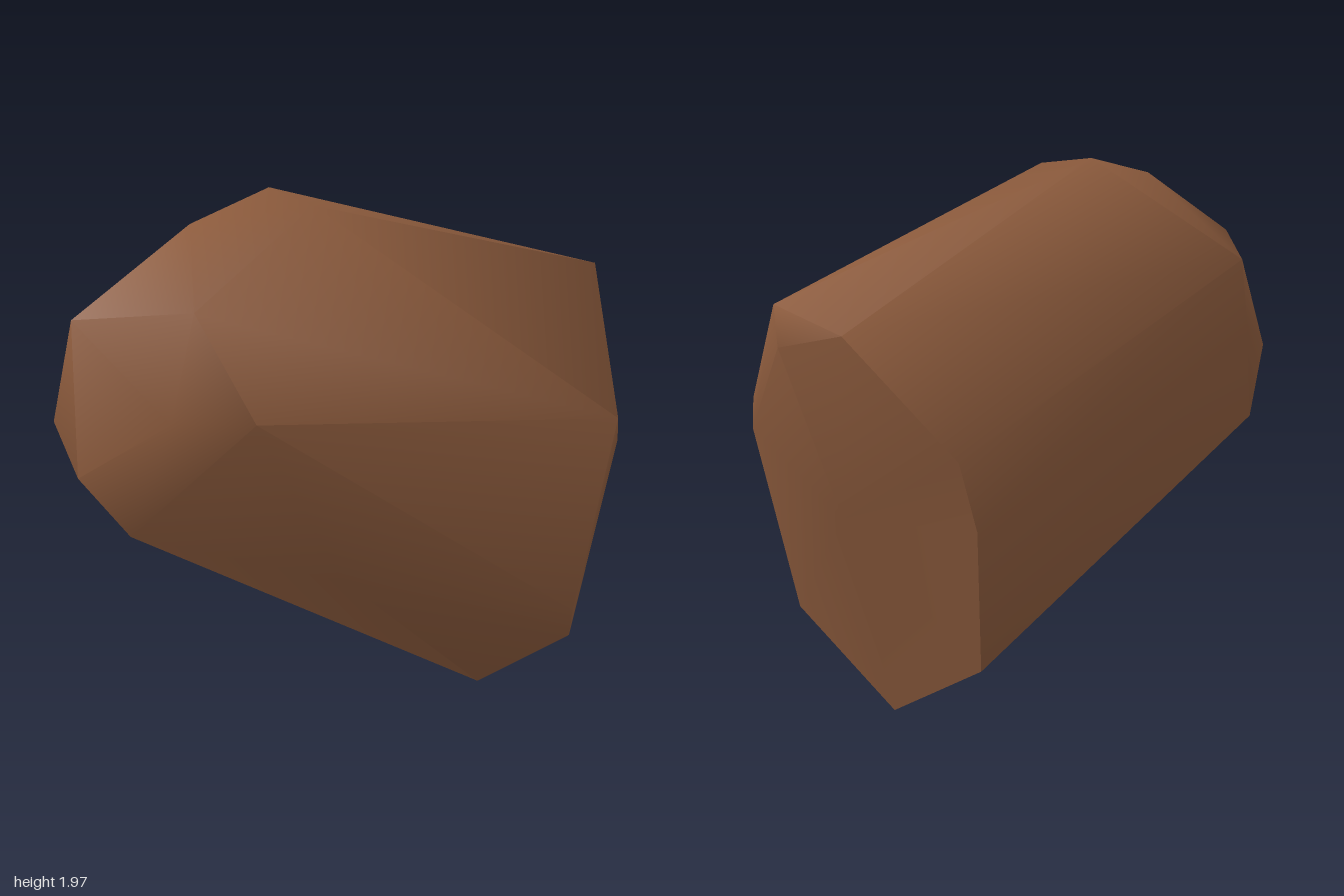
import * as THREE from 'three';
import { ConvexGeometry } from 'three/addons/geometries/ConvexGeometry.js';
import { toCreasedNormals } from 'three/addons/utils/BufferGeometryUtils.js';

// Blunt, rounded end of the boulder (upper left, towards the front)
const roundedEnd = [
  [-1, 1.21, 0.38], [-0.91, 1.63, 0.6], [-0.9, 1.1, 0.67], [-0.91, 0.96, 0.25],
  [-0.73, 0.89, 0.67], [-0.79, 1.6, 0], [-0.83, 1.35, 0.05],
  [-0.52, 1.89, 0.33], [-0.5, 1.68, 0.71], [-0.58, 1.32, 0.78],
  [-0.3, 1.33, 0.825], [-0.1, 1.94, 0.28], [-0.25, 1.97, 0.12],
];

// Rim of the broad cleaved end (lower right, towards the back), in order
const cleavedEnd = [
  [0.97, 1.56, -0.41], [0.97, 1.43, -0.51], [0.78, 1.49, -0.68],
  [0.42, 1.08, -0.82], [0.35, 0.83, -0.77], [0.3, 0.28, -0.57],
  [0.53, 0, -0.1], [0.83, 0.32, 0.22], [0.83, 0.45, 0.3],
  [1, 1.03, 0.1], [0.99, 1.13, 0.16],
];

// Shallow hollows: hulled at "raised", then sunk to "sunk"
const hollows = [
  { raised: [-0.47, 0.62, 0.17], sunk: [-0.47, 0.72, 0.17] }, // underside
  { raised: [0.05, 0.55, 0.52], sunk: [0, 0.6, 0.37] }, // lower front
  { raised: [0.83, 0.74, -0.4], sunk: [0.735, 0.78, -0.305] }, // cleaved face
];

const toVector = (p) => new THREE.Vector3(...p);

export function createModel() {
  const brownStone = new THREE.MeshStandardMaterial({ color: 0x8b5a3c });
  brownStone.name = 'brownStone';

  // Faceted stone body
  const raised = hollows.map((h) => h.raised);
  const hull = new ConvexGeometry([...roundedEnd, ...cleavedEnd, ...raised].map(toVector));

  // Sink the hollows below the convex surface
  const position = hull.attributes.position;
  const corner = new THREE.Vector3();
  for (let i = 0; i < position.count; i++) {
    corner.fromBufferAttribute(position, i);
    for (const h of hollows) {
      if (corner.distanceTo(toVector(h.raised)) < 0.001) position.setXYZ(i, ...h.sunk);
    }
  }

  // Smooth over shallow edges, sharp around the cleaved face
  const boulder = new THREE.Mesh(toCreasedNormals(hull, 1.0), brownStone);
  boulder.name = 'boulder';

  const model = new THREE.Group();
  model.name = 'rock';
  model.add(boulder);
  return model;
}
